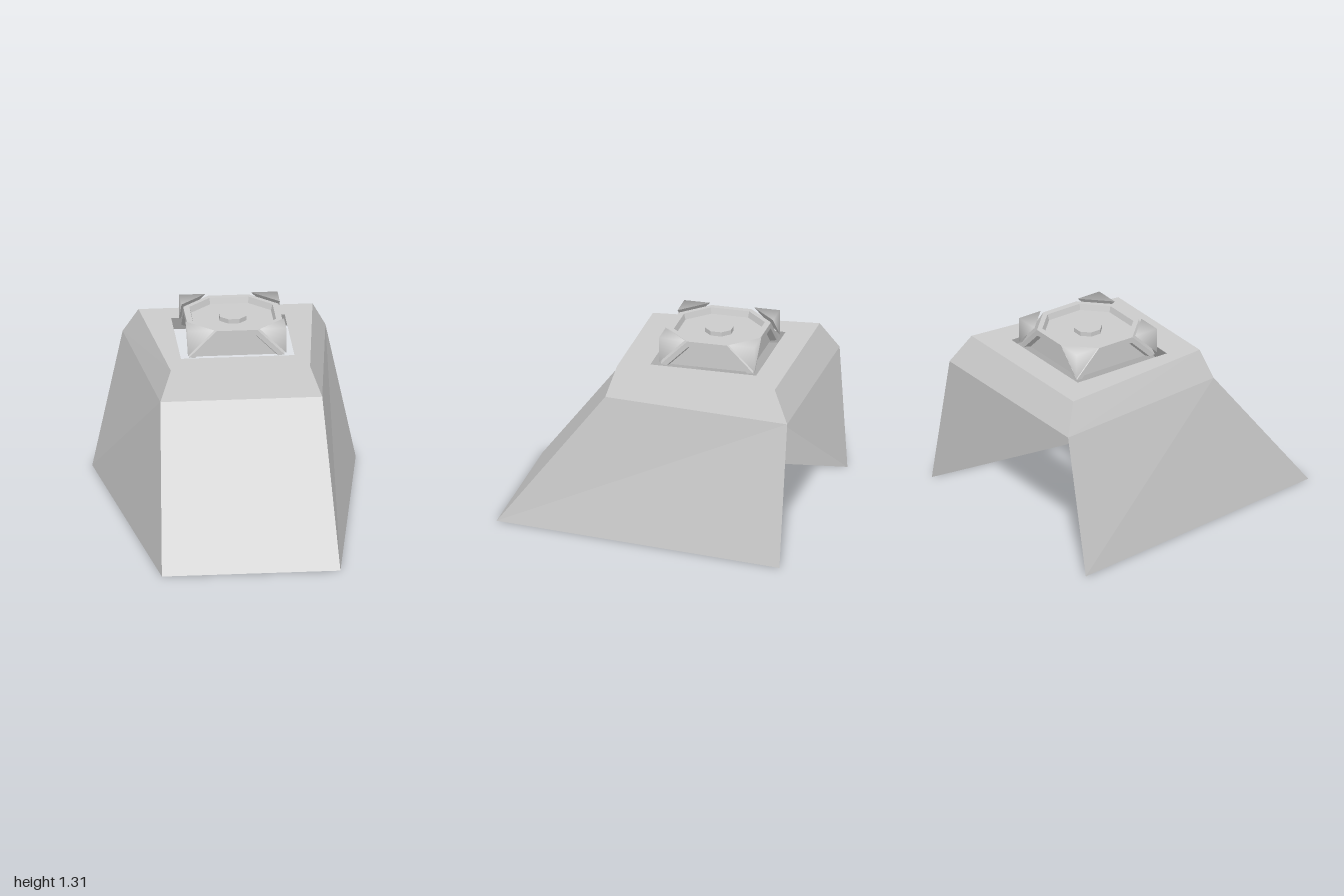
import * as THREE from 'three';

const flatMat = new THREE.MeshStandardMaterial({ color: 0xcccccc, flatShading: true, side: THREE.DoubleSide });
const smoothMat = new THREE.MeshStandardMaterial({ color: 0xcccccc, side: THREE.DoubleSide });

function mesh(name, geometry, material = flatMat) {
  const m = new THREE.Mesh(geometry, material);
  m.name = name;
  return m;
}

// Geometry from points and triangle indices
function fromFaces(points, index, flat = true) {
  let g = new THREE.BufferGeometry();
  g.setAttribute('position', new THREE.Float32BufferAttribute(points.flat(), 3));
  g.setIndex(index);
  if (flat) g = g.toNonIndexed();
  g.computeVertexNormals();
  return g;
}

// Tapered housing: open underneath and behind, bevelled below the top
function createHousing() {
  const group = new THREE.Group();
  group.name = 'housing';
  const levels = [ // y, front z, front half width, back z, back half width
    [0, 1, 0.59, -1, 0.87],
    [0.945, 0.275, 0.535, -1, 0.67],
    [1.14, 0.215, 0.46, -0.89, 0.575],
  ];
  const points = levels.flatMap(([y, zf, xf, zb, xb]) =>
    [[-xb, y, zb], [-xf, y, zf], [xf, y, zf], [xb, y, zb]]);
  const strip = (level, sides) => {
    const index = [];
    for (let i = 0; i < sides; i++) {
      const a = level * 4 + i, b = level * 4 + (i + 1) % 4;
      index.push(a, b, b + 4, a, b + 4, a + 4);
    }
    return fromFaces(points, index);
  };
  group.add(mesh('housingWalls', strip(0, 3)), mesh('housingBevel', strip(1, 4)));

  // Top plate with a square opening
  const [y, zf, xf, zb, xb] = levels[2];
  const plate = new THREE.Shape([[-xf, -zf], [xf, -zf], [xb, -zb], [-xb, -zb]].map(p => new THREE.Vector2(...p)));
  plate.holes.push(new THREE.Path(
    [[-0.375, -0.01], [-0.375, 0.71], [0.375, 0.71], [0.375, -0.01]].map(p => new THREE.Vector2(...p))));
  group.add(mesh('topPlate', new THREE.ShapeGeometry(plate).rotateX(-Math.PI / 2).translate(0, y, 0)));
  return group;
}

const octagon = (h, b) => [[h, -b], [h, b], [b, h], [-b, h], [-h, b], [-h, -b], [-b, -h], [b, -h]];

// Octagonal frame with a sunken panel facing +z; a side uses only its upper half
function createPanel(half, closed) {
  const rings = [[half, 0.135, half], [0.275, 0.13, half], [0.264, 0.125, half - 0.04]];
  const points = [];
  let n;
  for (const [h, b, z] of rings) {
    const ring = closed ? octagon(h, b) : octagon(h, b).slice(1, 5);
    n = ring.length;
    ring.forEach(([u, v]) => points.push([u, v, z]));
  }
  const index = [];
  for (let r = 0; r < 2; r++) {
    for (let i = 0; i < (closed ? n : n - 1); i++) {
      const a = r * n + i, b = r * n + (i + 1) % n;
      index.push(a, b, b + n, a, b + n, a + n);
    }
  }
  for (let i = 1; i < n - 1; i++) index.push(2 * n, 2 * n + i, 2 * n + i + 1);
  return fromFaces(points, index);
}

// Cube top with cut corners, sunken panels and separate corner guards
function createCube() {
  const group = new THREE.Group();
  group.name = 'cube';
  group.position.set(0, 0.99, -0.36);
  const half = 0.315;

  group.add(mesh('cubeTop', createPanel(half, true).rotateX(-Math.PI / 2)));
  const button = mesh('button', new THREE.CylinderGeometry(0.095, 0.095, 0.03, 8).rotateY(Math.PI / 8));
  button.position.y = half - 0.025;
  group.add(button);

  const side = createPanel(half, false);
  const corner = (h, b) => [[h, h, h], [b, h, h], [h, b, h], [h, h, b]];
  const cut = fromFaces(corner(half, 0.135), [1, 2, 3]);
  const guard = fromFaces(corner(0.325, 0.15), [0, 1, 2, 0, 2, 3, 0, 3, 1], false);
  const guardBack = fromFaces(corner(0.325, 0.15), [1, 3, 2]);
  for (let k = 0; k < 4; k++) {
    const quarter = new THREE.Group();
    quarter.name = 'cubeQuarter';
    quarter.rotation.y = k * Math.PI / 2;
    quarter.add(
      mesh('cubeSide', side),
      mesh('cubeCornerCut', cut),
      mesh('cornerGuard', guard, smoothMat),
      mesh('cornerGuardBack', guardBack),
    );
    group.add(quarter);
  }
  return group;
}

export function createModel() {
  const model = new THREE.Group();
  model.name = 'cubeHolder';
  model.add(createHousing(), createCube());
  return model;
}
